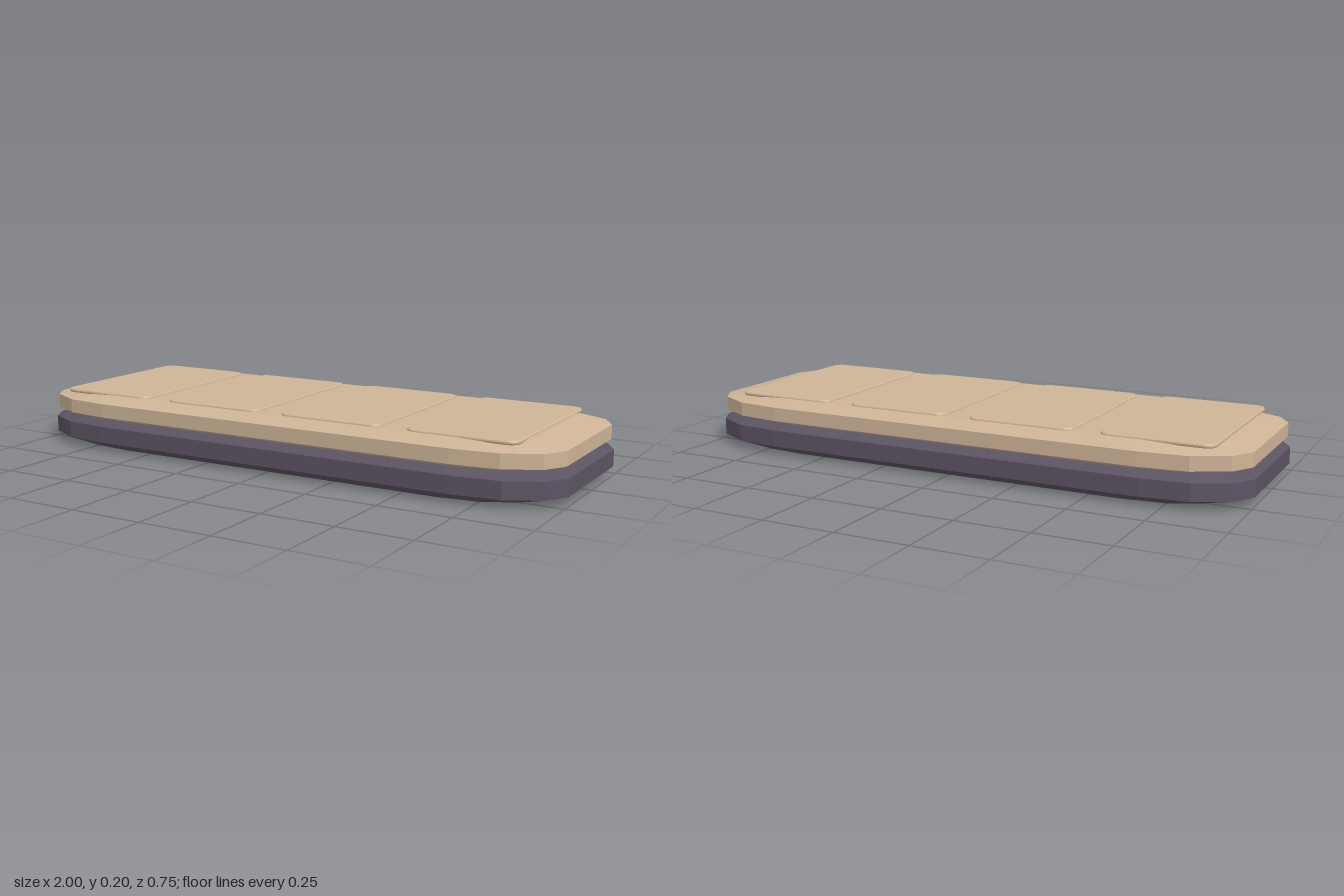
import * as THREE from 'three';

// One quarter of the slab outline: half-width x, half-depth z
const QUARTER = [[1, 0.22], [0.955, 0.295], [0.84, 0.355], [0.68, 0.373]];

// Mirror the quarter into a full closed loop
function outline() {
  const rev = [...QUARTER].reverse();
  return [
    ...QUARTER,
    ...rev.map(([x, z]) => [-x, z]),
    ...QUARTER.map(([x, z]) => [-x, -z]),
    ...rev.map(([x, z]) => [x, -z]),
  ];
}

// Stack scaled copies of the outline; each level is [y, scaleX, scaleZ]
function slabGeometry(levels) {
  const rings = levels.map(([y, sx, sz]) => outline().map(([x, z]) => [x * sx, y, z * sz]));
  const n = rings[0].length;
  const pos = [];
  const tri = (...pts) => pts.forEach((p) => pos.push(...p));
  const last = rings.length - 1;
  for (let i = 0; i < n; i++) {
    const j = (i + 1) % n;
    for (let k = 0; k < last; k++) {
      const lo = rings[k], up = rings[k + 1];
      tri(lo[i], up[i], up[j]);
      tri(lo[i], up[j], lo[j]);
    }
    tri([0, levels[0][0], 0], rings[0][i], rings[0][j]);
    tri([0, levels[last][0], 0], rings[last][j], rings[last][i]);
  }
  const geo = new THREE.BufferGeometry();
  geo.setAttribute('position', new THREE.Float32BufferAttribute(pos, 3));
  geo.computeVertexNormals();
  return geo;
}

// Thin cushion panel with rounded corners and a soft rim, lying flat
function padGeometry(w, d, h, r) {
  const bevel = 0.006;
  const x = w / 2 - bevel, y = d / 2 - bevel;
  const s = new THREE.Shape();
  s.moveTo(-x + r, -y);
  s.lineTo(x - r, -y);
  s.quadraticCurveTo(x, -y, x, -y + r);
  s.lineTo(x, y - r);
  s.quadraticCurveTo(x, y, x - r, y);
  s.lineTo(-x + r, y);
  s.quadraticCurveTo(-x, y, -x, y - r);
  s.lineTo(-x, -y + r);
  s.quadraticCurveTo(-x, -y, -x + r, -y);
  const geo = new THREE.ExtrudeGeometry(s, {
    depth: h - 2 * bevel, bevelEnabled: true, bevelThickness: bevel,
    bevelSize: bevel, bevelSegments: 3, curveSegments: 5,
  });
  geo.translate(0, 0, bevel);
  geo.rotateX(-Math.PI / 2);
  return geo;
}

export function createModel() {
  const model = new THREE.Group();
  model.name = 'paddedSlab';
  const dark = new THREE.MeshStandardMaterial({ name: 'dark plum', color: 0x5c5363, flatShading: true });
  const tan = new THREE.MeshStandardMaterial({ name: 'tan', color: 0xceb497, flatShading: true });

  const add = (name, geo, mat) => {
    const mesh = new THREE.Mesh(geo, mat);
    mesh.name = name;
    model.add(mesh);
    return mesh;
  };

  // Bevelled lower base
  add('base', slabGeometry([[0, 0.89, 0.86], [0.03, 1, 1], [0.088, 1, 1], [0.11, 0.92, 0.9]]), dark);

  // Bevelled upper cushion
  add('cushion', slabGeometry([[0.108, 0.92, 0.9], [0.122, 0.99, 0.99], [0.17, 0.99, 0.99], [0.193, 0.88, 0.85]]), tan);

  // Row of four raised panels
  const pad = padGeometry(0.375, 0.62, 0.014, 0.035);
  for (let i = 0; i < 4; i++) {
    add(`panel${i + 1}`, pad, tan).position.set(-0.707 + i * 0.462, 0.186, 0);
  }
  return model;
}
